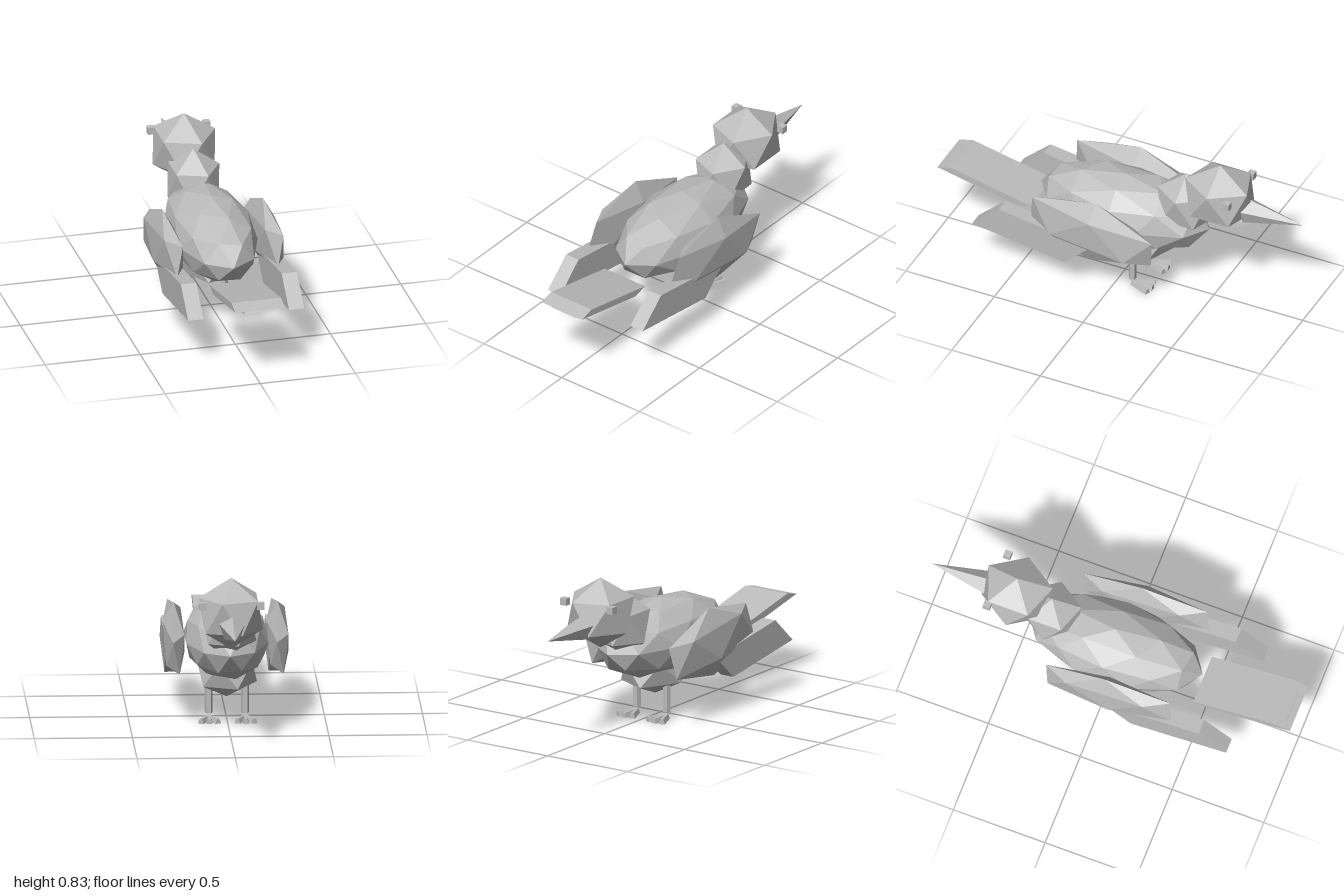
import * as THREE from 'three';

export function createModel() {
  const bird = new THREE.Group();
  bird.name = 'bird';
  const grey = new THREE.MeshStandardMaterial({ color: 0xbcbcbc, flatShading: true });
  grey.name = 'grey';

  function add(name, geometry, x = 0, y = 0, z = 0, parent = bird) {
    const mesh = new THREE.Mesh(geometry, grey);
    mesh.name = name;
    mesh.position.set(x, y, z);
    parent.add(mesh);
    return mesh;
  }

  // Faceted ellipsoid standing on a vertex, with an upper ring vertex towards +x
  function gem(rx, ry, rz, detail = 0) {
    const g = new THREE.IcosahedronGeometry(1, detail);
    g.rotateX(-Math.atan((1 + Math.sqrt(5)) / 2));
    g.rotateY(Math.PI / 2);
    g.scale(rx, ry, rz);
    return g;
  }

  // Prism across x from a side outline of [z, y] points
  function slab(points, width) {
    const shape = new THREE.Shape(points.map(([z, y]) => new THREE.Vector2(z, y)));
    const g = new THREE.ExtrudeGeometry(shape, { depth: width, bevelEnabled: false });
    g.translate(0, 0, -width / 2);
    g.rotateY(-Math.PI / 2);
    return g;
  }

  // Trunk, neck and head
  add('body', gem(0.22, 0.2, 0.475, 1), 0, 0.41, 0);
  add('belly', gem(0.173, 0.14, 0.237), 0, 0.253, -0.055);
  add('neck', gem(0.153, 0.175, 0.17), 0, 0.545, -0.345);
  add('head', gem(0.184, 0.185, 0.205), 0, 0.65, -0.535);

  // Beak, pointing to -z
  const beak = new THREE.ConeGeometry(0.07, 0.32, 5);
  beak.rotateX(-Math.PI / 2);
  add('beak', beak, 0, 0.605, -0.84);

  // Tail feathers
  add('upperTail', slab([[0.475, 0.335], [0.92, 0.43], [1, 0.41], [0.555, 0.315]], 0.26));
  add('lowerTail', slab([[0.58, 0.313], [0.965, 0.42], [0.985, 0.392], [0.6, 0.285]], 0.157));

  // Toe section: wider at the ground than on top
  const toeShape = new THREE.Shape([
    new THREE.Vector2(-0.016, 0), new THREE.Vector2(0.016, 0),
    new THREE.Vector2(0.007, 0.025), new THREE.Vector2(-0.007, 0.025),
  ]);

  for (const [side, s] of [['left', 1], ['right', -1]]) {
    // Wing and its feather tip
    const wing = add(side + 'Wing', gem(0.063, 0.185, 0.4), s * 0.265, 0.4, 0.065);
    wing.rotation.x = -0.125;
    add(side + 'WingTip',
      slab([[0.05, 0.325], [0.57, 0.4], [0.72, 0.262], [0.2, 0.187]], 0.08), s * 0.265);

    add(side + 'Eye', new THREE.BoxGeometry(0.037, 0.037, 0.037), s * 0.146, 0.711, -0.642);

    // Leg, and a foot of three splayed toes
    add(side + 'Leg', new THREE.CylinderGeometry(0.021, 0.021, 0.165, 5), s * 0.093, 0.1175, -0.085);
    const foot = new THREE.Group();
    foot.name = side + 'Foot';
    foot.position.set(s * 0.093, 0, -0.085);
    bird.add(foot);
    for (const angle of [-0.4, 0, 0.4]) {
      const toe = new THREE.ExtrudeGeometry(toeShape, { depth: 0.115, bevelEnabled: false });
      toe.translate(0, 0, -0.115);
      add('toe', toe, 0, 0, 0, foot).rotation.y = angle;
    }
  }
  return bird;
}
